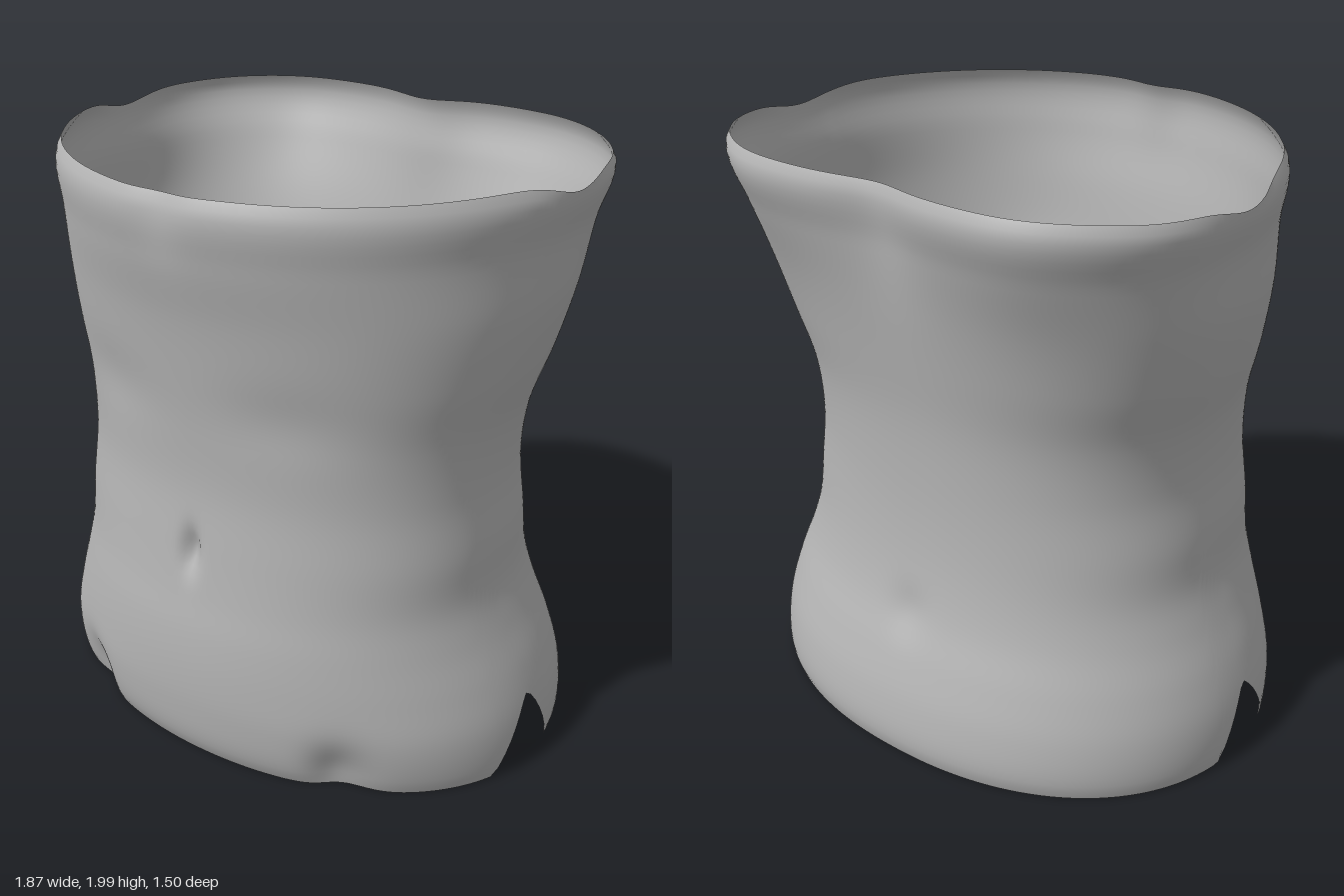
import * as THREE from 'three';

// Each row: height, half width, front z, back z, z of widest point, front roundness, back roundness
const sections = [
  [0.00, 0.925, 0.640, -0.735, 0.00, 2.05, 2.2],
  [0.05, 0.935, 0.665, -0.750, 0.00, 2.05, 2.2],
  [0.20, 0.930, 0.690, -0.735, 0.00, 2.1, 2.2],
  [0.35, 0.890, 0.695, -0.690, 0.00, 2.1, 2.2],
  [0.50, 0.830, 0.685, -0.635, 0.01, 2.15, 2.25],
  [0.63, 0.788, 0.665, -0.605, 0.02, 2.2, 2.3],
  [0.80, 0.775, 0.645, -0.585, 0.03, 2.2, 2.3],
  [1.00, 0.752, 0.628, -0.580, 0.03, 2.2, 2.3],
  [1.20, 0.765, 0.637, -0.590, 0.00, 2.2, 2.3],
  [1.40, 0.820, 0.660, -0.620, -0.04, 2.15, 2.4],
  [1.60, 0.860, 0.690, -0.660, -0.08, 2.1, 2.5],
  [1.80, 0.872, 0.735, -0.710, -0.12, 2.05, 2.7],
  [1.96, 0.900, 0.755, -0.750, -0.15, 2.0, 2.8],
  [2.00, 0.880, 0.735, -0.735, -0.15, 2.0, 2.8],
];
const COLUMNS = 240, ROWS = 72;

const spline = new THREE.CubicInterpolant(
  sections.map((s) => s[0]), sections.flatMap((s) => s.slice(1)), 6, new Float32Array(6));

const bell = (d, width) => Math.exp(-((d / width) ** 2));

// Point on the smooth body at an angle (0 = front, quarter turn = left side) and height
function bodyPoint(angle, y) {
  const [w, front, back, mid, nFront, nBack] = spline.evaluate(y);
  const s = Math.sin(angle), c = Math.cos(angle);
  const depth = c > 0 ? front - mid : mid - back;
  const n = c > 0 ? nFront : nBack;
  const r = (Math.abs(s / w) ** n + Math.abs(c / depth) ** n) ** (-1 / n);
  return new THREE.Vector3(s * r, y, mid + c * r);
}

// Navel, spine, hip hollows and soft muscle relief, as a distance inwards
function relief(p) {
  const ax = Math.abs(p.x);
  if (p.z > 0) {
    return 0.04 * bell(p.x, 0.035) * bell(p.y - 0.78, 0.07)
      + 0.05 * bell(ax - 0.54, 0.09) * bell(p.y - 0.07, 0.12)
      + 0.02 * bell(p.x, 0.09) * bell(p.y - 2, 0.15)
      + 0.012 * bell(ax - 0.35, 0.2) * bell(p.y - 1.3, 0.12);
  }
  return 0.055 * bell(p.x, 0.16) * bell(p.y - 2, 0.3)
    - 0.03 * bell(ax - 0.5, 0.2) * bell(p.y - 1.9, 0.25)
    + 0.015 * bell(p.x, 0.08) * bell(p.y - 0.5, 0.08);
}

// Lower edge rises in a pointed notch at each side
function lowerEdge(angle) {
  const p = bodyPoint(angle, 0.12);
  const d = (p.z - 0.02) / (p.z > 0.02 ? 0.165 : 0.145);
  return 0.01 + 0.255 * Math.max(0, 1 - Math.abs(d) ** 1.35);
}

// Upper edge dips at each side
function upperEdge(angle) {
  const p = bodyPoint(angle, 1.96);
  return 2 - 0.045 * bell(p.z + 0.12, 0.15) - 0.012 * bell(p.z + 0.4, 0.2)
    - 0.006 * bell(p.x, 0.15);
}

function torsoGeometry() {
  const positions = [], index = [];
  for (let j = 0; j <= ROWS; j++) {
    for (let i = 0; i < COLUMNS; i++) {
      const angle = (i / COLUMNS) * Math.PI * 2;
      const y = THREE.MathUtils.lerp(lowerEdge(angle), upperEdge(angle), j / ROWS);
      const p = bodyPoint(angle, y);
      const inward = relief(p);
      p.x -= Math.sin(angle) * inward;
      p.z -= Math.cos(angle) * inward;
      positions.push(p.x, p.y, p.z);
      if (j < ROWS) {
        const a = j * COLUMNS + i, b = j * COLUMNS + (i + 1) % COLUMNS;
        index.push(a, b, b + COLUMNS, a, b + COLUMNS, a + COLUMNS);
      }
    }
  }
  const geometry = new THREE.BufferGeometry();
  geometry.setAttribute('position', new THREE.Float32BufferAttribute(positions, 3));
  geometry.setIndex(index);
  geometry.computeVertexNormals();
  return geometry;
}

export function createModel() {
  const grey = new THREE.MeshStandardMaterial({ color: 0xb4b4b4, side: THREE.DoubleSide });
  grey.name = 'grey';
  const torso = new THREE.Mesh(torsoGeometry(), grey);
  torso.name = 'torsoShell';
  const model = new THREE.Group();
  model.name = 'torso';
  model.add(torso);
  return model;
}
